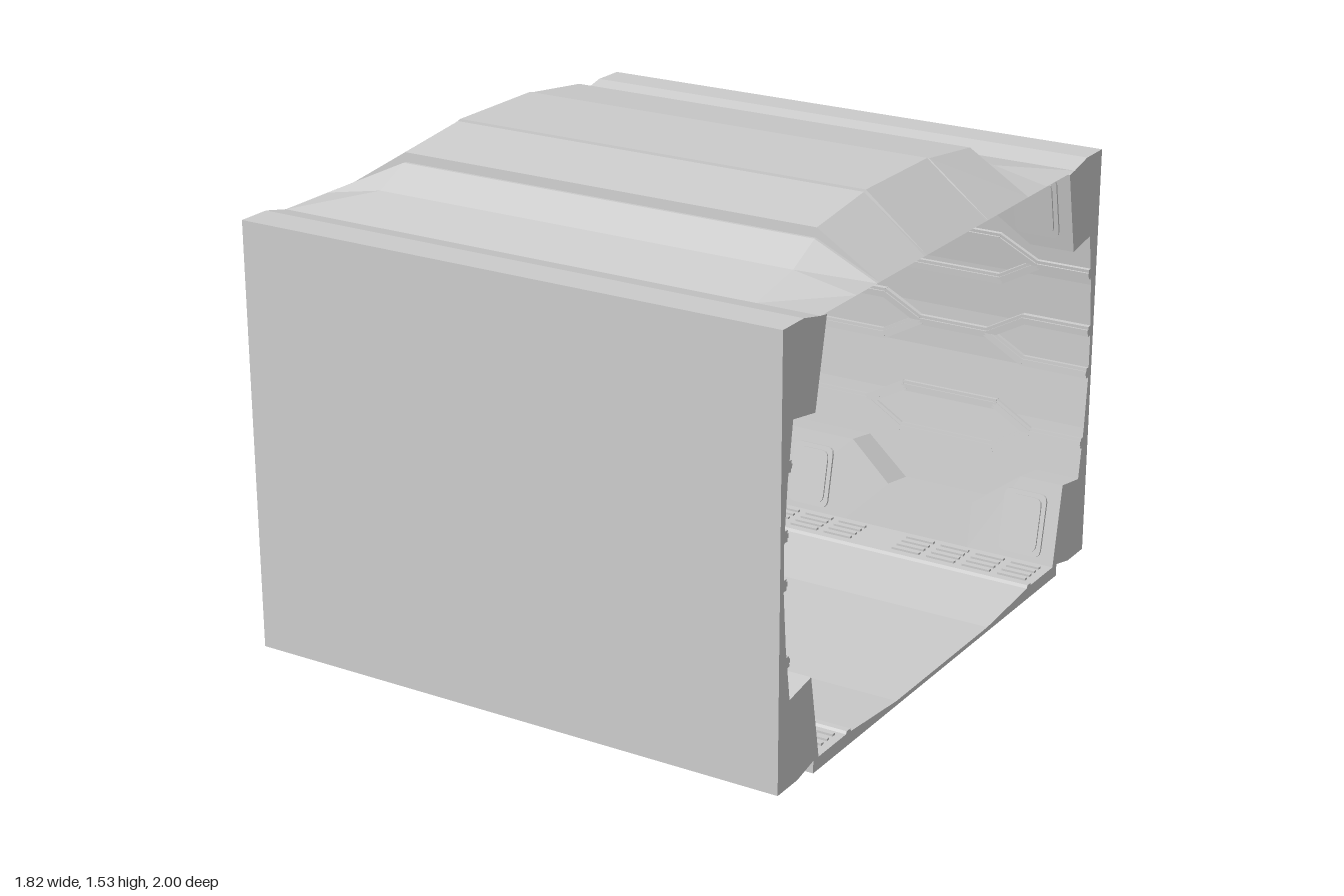
import * as THREE from 'three';

const mat = new THREE.MeshStandardMaterial({ color: 0xcccccc, flatShading: true, side: THREE.DoubleSide });
const V = (x, y, z) => new THREE.Vector3(x, y, z);
const HALF = 0.91;

// Skin a row of cross-sections; each section is { x, pts: [[z, y], ...] }
function loft(name, sections, closed) {
  const pos = [];
  const n = sections[0].pts.length;
  for (let s = 0; s < sections.length - 1; s++) {
    const A = sections[s], B = sections[s + 1];
    for (let i = 0; i < (closed ? n : n - 1); i++) {
      const j = (i + 1) % n;
      const corner = (S, k) => [S.x, S.pts[k][1], S.pts[k][0]];
      const a = corner(A, i), b = corner(A, j), c = corner(B, j), d = corner(B, i);
      pos.push(...a, ...d, ...b, ...b, ...d, ...c);
    }
  }
  // flat end caps
  if (closed) {
    for (const [S, flip] of [[sections[0], true], [sections[sections.length - 1], false]]) {
      const flat = S.pts.map(([z, y]) => new THREE.Vector2(-z, y));
      for (const tri of THREE.ShapeUtils.triangulateShape(flat, [])) {
        for (const k of flip ? [...tri].reverse() : tri) pos.push(S.x, S.pts[k][1], S.pts[k][0]);
      }
    }
  }
  const geo = new THREE.BufferGeometry();
  geo.setAttribute('position', new THREE.Float32BufferAttribute(pos, 3));
  geo.computeVertexNormals();
  const mesh = new THREE.Mesh(geo, mat);
  mesh.name = name;
  return mesh;
}

// Lay a mesh on a surface: local x along dir, local z along normal
function place(mesh, origin, dir, normal) {
  const x = dir.clone().normalize();
  const y = normal.clone().cross(x).normalize();
  const z = x.clone().cross(y);
  mesh.applyMatrix4(new THREE.Matrix4().makeBasis(x, y, z).setPosition(origin));
  return mesh;
}

// Depth of the curved recess in the wall at height y
const MID = 0.705;
function recessZ(y) {
  const h = Math.abs(y - MID);
  return h < 0.245 ? 0.98 - 0.015 * h / 0.245 : 0.965 - 0.025 * (h - 0.245) / 0.17;
}

// Wall section; d narrows the upper and lower panels
function wallPoints(d) {
  const upper = [
    [1, 1.39], [0.89, 1.39], [0.8, 1.37], [0.765, 1.365],
    [0.82 - 0.21 * d, 1.1 + d], [recessZ(1.12 + d), 1.12 + d], [0.965, 0.95], [0.98, 0.78],
  ];
  const lower = [
    [0.98, 0.63], [0.965, 0.46], [recessZ(0.29 - d), 0.29 - d], [0.82 - 0.21 * d, 0.31 - d],
    [0.77, 0.04], [0.8, 0.04], [0.89, 0.02], [1, 0.02],
  ];
  return [...upper, ...lower].reverse();
}

// Raised rail between two points on the recess
function rail(group, x0, y0, x1, y1) {
  const clip = (x, y) => {
    const cx = THREE.MathUtils.clamp(x, -HALF + 0.005, HALF - 0.005);
    return [cx, x1 === x0 ? y : y0 + (y1 - y0) * (cx - x0) / (x1 - x0)];
  };
  const [ax, ay] = clip(x0, y0), [bx, by] = clip(x1, y1);
  if (Math.abs(ax - bx) < 0.01) return;
  const a = V(ax, ay, recessZ(ay)), b = V(bx, by, recessZ(by));
  const mid = a.clone().add(b).multiplyScalar(0.5);
  const dir = b.clone().sub(a);
  const normal = V(0, (recessZ(mid.y - 0.02) - recessZ(mid.y + 0.02)) / -0.04, -1);
  normal.addScaledVector(dir, -normal.dot(dir) / dir.lengthSq()).normalize();
  for (const [w, depth] of [[0.034, 0.024], [0.014, 0.034]]) {
    const bar = new THREE.Mesh(new THREE.BoxGeometry(dir.length() + 0.01, w, depth), mat);
    bar.name = 'wallRail';
    group.add(place(bar, mid, dir, normal));
  }
}

// Rounded plate outline
function plateGeometry(w, h, r, depth) {
  const s = new THREE.Shape();
  const x = w / 2, y = h / 2;
  s.moveTo(-x + r, -y).lineTo(x - r, -y).quadraticCurveTo(x, -y, x, -y + r);
  s.lineTo(x, y - r).quadraticCurveTo(x, y, x - r, y);
  s.lineTo(-x + r, y).quadraticCurveTo(-x, y, -x, y - r);
  s.lineTo(-x, -y + r).quadraticCurveTo(-x, -y, -x + r, -y);
  return new THREE.ExtrudeGeometry(s, { depth, bevelEnabled: false, curveSegments: 3 });
}

function buildWall(name) {
  const wall = new THREE.Group();
  wall.name = name;

  // body with panels that swell at the centre and at both ends
  const half = [[0.14, 0], [0.29, 0.12], [0.6, 0.12], [0.76, 0], [HALF, 0]];
  const stations = [...half.map(([x, d]) => [-x, d]).reverse(), ...half];
  wall.add(loft('wallBody', stations.map(([x, d]) => ({ x, pts: wallPoints(d) })), true));

  // honeycomb rails: rows of long hexagons joined by bars
  for (const [y, offset] of [[0.99, 0.425], [0.72, 0], [0.41, 0.425]]) {
    for (let k = -2; k <= 2; k++) {
      const c = k * 0.85 + offset, h = 0.072;
      for (const s of [-1, 1]) {
        rail(wall, c - 0.17, y + s * h, c + 0.17, y + s * h);
        rail(wall, c - 0.3, y, c - 0.17, y + s * h);
        rail(wall, c + 0.17, y + s * h, c + 0.3, y);
      }
      rail(wall, c + 0.3, y, c + 0.55, y);
    }
  }

  // cover plates on the upper and lower panels
  for (const s of [-1, 1]) {
    const origin = V(0, MID + s * 0.54, 0.791);
    const normal = V(0, -s * 0.2, -0.98).normalize();
    for (const x of [-0.79, 0, 0.79]) {
      for (const [w, h, depth] of [[0.15, 0.21, 0.008], [0.12, 0.18, 0.014]]) {
        const plate = new THREE.Mesh(plateGeometry(w, h, 0.025, depth), mat);
        plate.name = 'coverPlate';
        wall.add(place(plate, V(x, origin.y, origin.z), V(1, 0, 0), normal));
      }
    }
  }

  // slotted grating on the floor beside the wall
  for (let row = 0; row < 4; row++) {
    for (let i = 0; i < 14; i++) {
      if (i % 5 === 4) continue;
      const slat = new THREE.Mesh(new THREE.BoxGeometry(0.1, 0.008, 0.014), mat);
      slat.position.set(-0.83 + i * 0.128, 0.043, 0.635 + row * 0.034);
      slat.name = 'floorSlat';
      wall.add(slat);
    }
  }
  return wall;
}

// Mirror a half profile (z from outside to the middle) to the far side
const mirrored = (pts) => [...pts, ...pts.map(([z, y]) => [-z, y]).reverse()];

export function createModel() {
  const model = new THREE.Group();
  model.name = 'corridorSection';

  // two identical walls
  const front = buildWall('frontWall');
  const back = buildWall('backWall');
  back.rotation.y = Math.PI;
  model.add(front, back);

  // dished floor slab with a small curb on each side
  const floor = [[0.8, 0], [0.8, 0.04], [0.61, 0.04], [0.605, 0.048], [0.585, 0.048], [0.58, 0.038], [0.3, 0.015]];
  const floorPts = mirrored(floor).reverse();
  model.add(loft('floor', [-HALF, HALF].map((x) => ({ x, pts: floorPts })), true));

  // stepped roof shell with seams, sloping down to both open ends
  const roof = [
    [0.8, 1.37], [0.6, 1.408], [0.482, 1.465], [0.472, 1.465], [0.47, 1.495],
    [0.2, 1.528], [0.198, 1.52], [0.19, 1.52], [0.188, 1.532],
  ];
  const high = mirrored(roof).reverse();
  const low = high.map(([z]) => [z, 1.37]);
  model.add(loft('roof', [
    { x: -HALF, pts: low }, { x: -0.71, pts: high }, { x: 0.71, pts: high }, { x: HALF, pts: low },
  ], false));

  return model;
}
